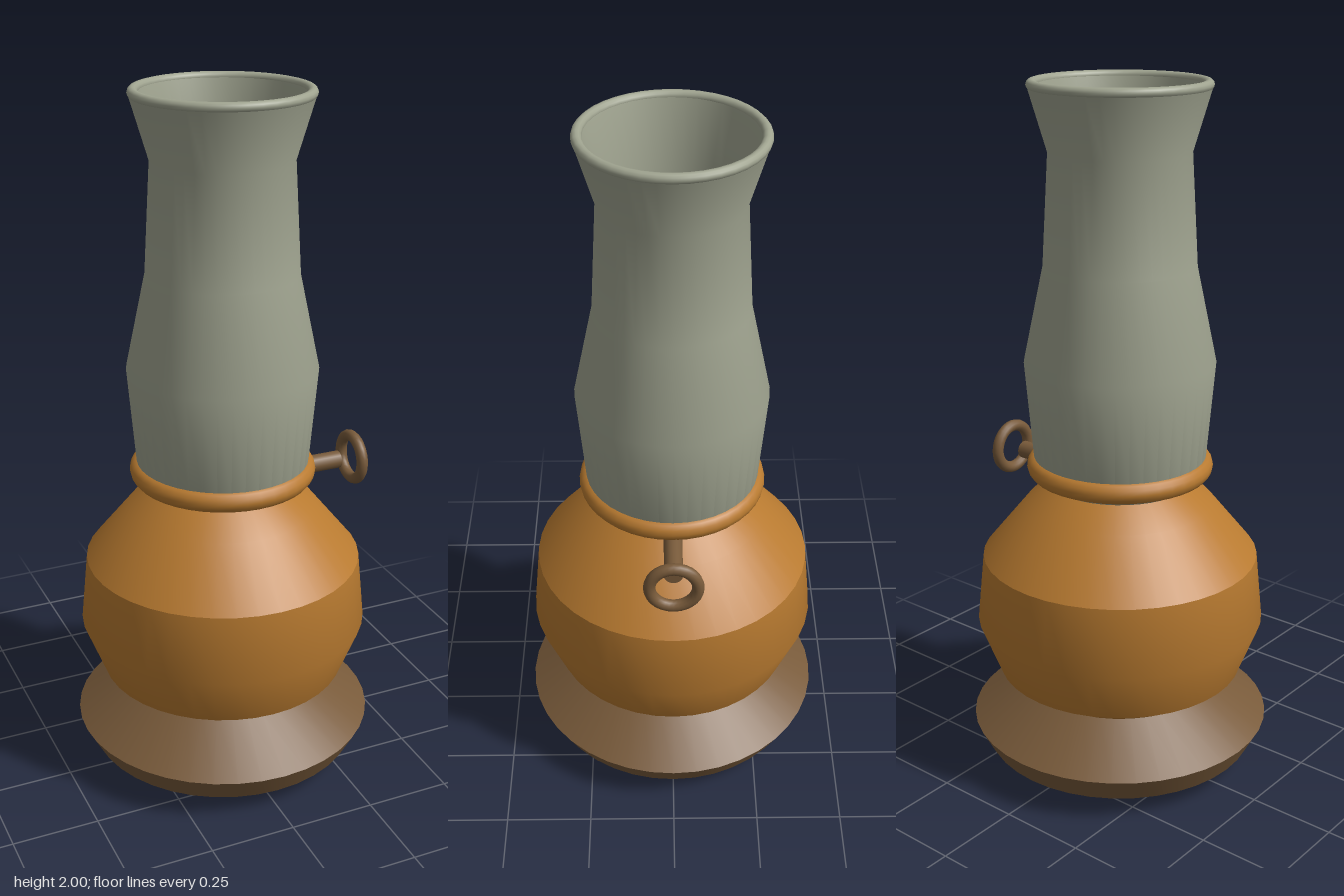
import * as THREE from 'three';
import { toCreasedNormals } from 'three/addons/utils/BufferGeometryUtils.js';

const BRASS = 0xb87a30, BROWN = 0x785a3a, GLASS = 0xa0a490, FLAME = 0xe8a050;
const SIDES = 40;

export function createModel() {
  const lamp = new THREE.Group();
  lamp.name = 'oilLamp';

  function add(name, geometry, color, x = 0, y = 0, z = 0) {
    const material = new THREE.MeshStandardMaterial({ color });
    const mesh = new THREE.Mesh(geometry, material);
    mesh.name = name;
    mesh.position.set(x, y, z);
    lamp.add(mesh);
    return mesh;
  }

  // Turned shape from [radius, height] pairs, soft bends smooth and hard ones sharp
  function turned(profile, sides = SIDES) {
    const points = profile.map(([r, y]) => new THREE.Vector2(r, y));
    return toCreasedNormals(new THREE.LatheGeometry(points, sides), 0.5);
  }

  // Flared foot
  add('base', turned([[0, 0], [0.24, 0], [0.4, 0.06], [0.44, 0.135], [0.28, 0.25], [0, 0.25]]), BROWN);

  // Fuel bowl
  add('fuelBowl', turned([
    [0, 0.24], [0.28, 0.245], [0.36, 0.295], [0.42, 0.45],
    [0.4, 0.65], [0.27, 0.81], [0.19, 0.87], [0, 0.87],
  ]), BRASS);

  // Burner plate with a ring of small beads
  add('burner', new THREE.CylinderGeometry(0.19, 0.19, 0.08, SIDES), BROWN, 0, 0.89);
  for (let i = 0; i < 10; i++) {
    const a = (i / 10) * Math.PI * 2;
    add('burnerBead', new THREE.SphereGeometry(0.013, 10, 8), BROWN, 0.17 * Math.cos(a), 0.935, 0.17 * Math.sin(a));
  }

  // Flame
  add('flame', turned([[0, 0.93], [0.03, 0.95], [0.05, 1], [0.042, 1.05], [0.022, 1.11], [0, 1.16]], 24), FLAME);

  // Collar ring holding the chimney
  const collar = add('collar', new THREE.TorusGeometry(0.235, 0.032, 14, SIDES), BRASS, 0, 0.922);
  collar.rotation.x = Math.PI / 2;

  // Glass chimney, outer wall up and inner wall down
  add('chimney', turned([
    [0.19, 0.87], [0.21, 0.875], [0.245, 0.93], [0.27, 1.23], [0.213, 1.5], [0.195, 1.81], [0.248, 1.988],
    [0.222, 1.988], [0.18, 1.81], [0.197, 1.5], [0.253, 1.23], [0.228, 0.93], [0.19, 0.87],
  ]), GLASS);
  const rim = add('chimneyRim', new THREE.TorusGeometry(0.235, 0.014, 12, SIDES), GLASS, 0, 1.986);
  rim.rotation.x = Math.PI / 2;

  // Wick adjuster on the left side
  const stem = add('wickStem', new THREE.CylinderGeometry(0.026, 0.026, 0.195, 16), BROWN, 0.28, 0.875);
  stem.rotation.z = Math.PI / 2;
  const wheel = add('wickWheel', new THREE.TorusGeometry(0.066, 0.017, 12, 28), BROWN, 0.423, 0.875);
  wheel.rotation.y = Math.PI / 2;

  return lamp;
}
